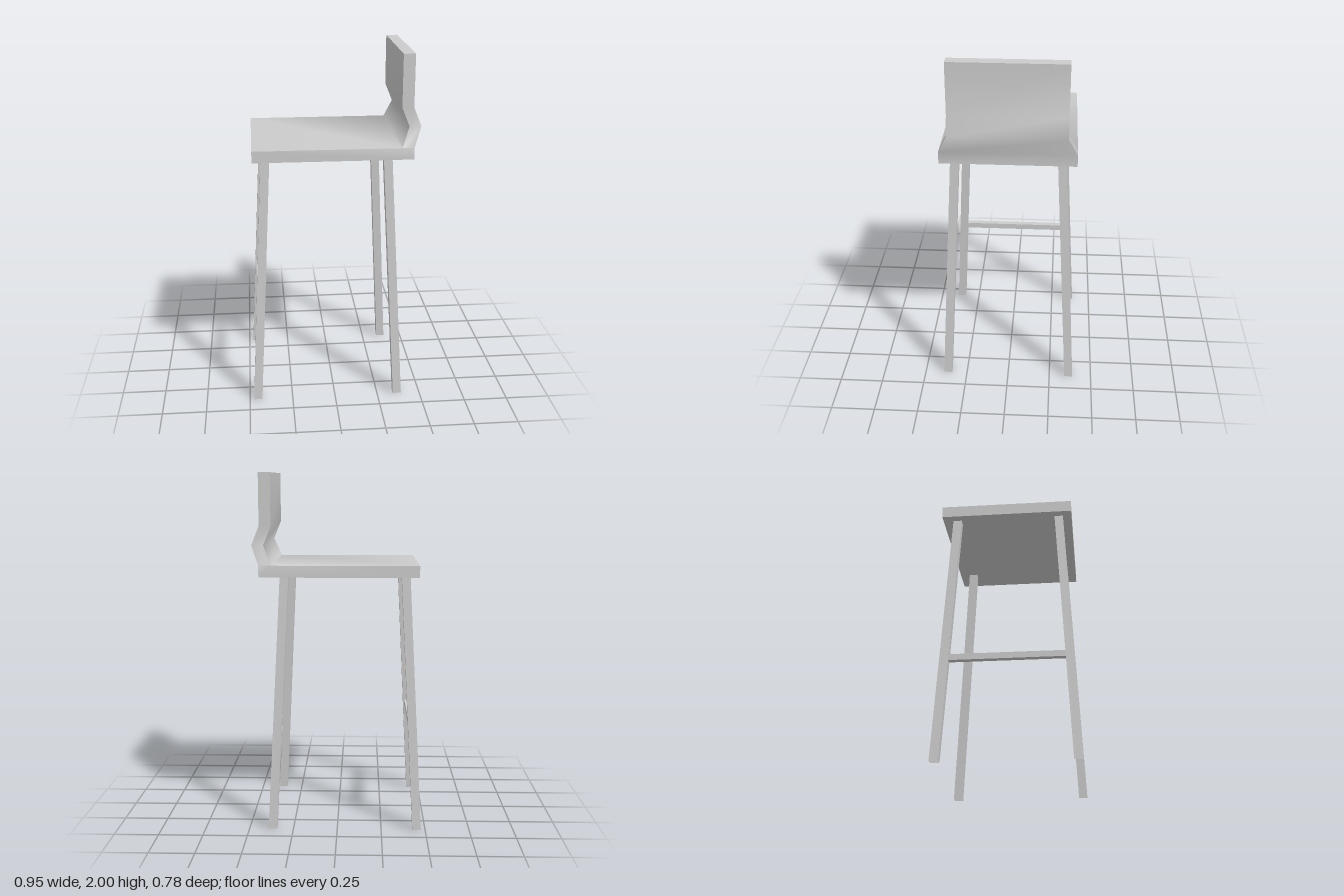
import * as THREE from 'three';
import { toCreasedNormals } from 'three/addons/utils/BufferGeometryUtils.js';

const SEAT_BOTTOM = 1.435;

// Slab swept through sections [innerX, innerY, outerX, outerY, zBack, zFront]
function slab(sections) {
  const pos = [];
  const tri = (a, b, c) => {
    const ab = new THREE.Vector3().subVectors(b, a);
    const ac = new THREE.Vector3().subVectors(c, a);
    if (ab.cross(ac).length() > 1e-7) for (const p of [a, b, c]) pos.push(p.x, p.y, p.z);
  };
  const quad = (a, b, c, d) => { tri(a, b, c); tri(a, c, d); };
  const rings = sections.map(([ix, iy, ox, oy, z0, z1]) => [
    new THREE.Vector3(ix, iy, z0), new THREE.Vector3(ix, iy, z1),
    new THREE.Vector3(ox, oy, z1), new THREE.Vector3(ox, oy, z0),
  ]);
  for (let i = 0; i < rings.length - 1; i++) {
    const a = rings[i], b = rings[i + 1];
    for (let k = 0; k < 4; k++) {
      const n = (k + 1) % 4;
      quad(a[k], a[n], b[n], b[k]);
    }
  }
  const first = rings[0], last = rings[rings.length - 1];
  quad(first[3], first[2], first[1], first[0]);
  quad(last[0], last[1], last[2], last[3]);
  const g = new THREE.BufferGeometry();
  g.setAttribute('position', new THREE.Float32BufferAttribute(pos, 3));
  g.computeVertexNormals();
  return toCreasedNormals(g, 1.3);
}

// Square open tube, sheared so that both ends stay horizontal
function legGeometry(bottom, top, width) {
  const r = width / Math.SQRT2;
  const g = new THREE.CylinderGeometry(r, r, SEAT_BOTTOM, 4, 1, true)
    .rotateY(Math.PI / 4).translate(0, SEAT_BOTTOM / 2, 0).toNonIndexed();
  const p = g.attributes.position;
  for (let i = 0; i < p.count; i++) {
    const t = p.getY(i) / SEAT_BOTTOM;
    p.setX(i, p.getX(i) + THREE.MathUtils.lerp(bottom[0], top[0], t));
    p.setZ(i, p.getZ(i) + THREE.MathUtils.lerp(bottom[1], top[1], t));
  }
  g.computeVertexNormals();
  return g;
}

export function createModel() {
  const group = new THREE.Group();
  const material = new THREE.MeshStandardMaterial({ color: 0xcccccc });
  const legMaterial = new THREE.MeshStandardMaterial({ color: 0xcccccc, side: THREE.DoubleSide });
  const add = (name, geometry, mat = material) => {
    const mesh = new THREE.Mesh(geometry, mat);
    mesh.name = name;
    group.add(mesh);
    return mesh;
  };

  // Seat and kinked backrest in one bent sheet, narrower above the seat
  const wide = [-0.372, 0.364], narrow = [-0.322, 0.315];
  add('seatAndBackrest', slab([
    [-0.45, 1.5, -0.45, SEAT_BOTTOM, ...wide],
    [0.365, 1.5, 0.43, SEAT_BOTTOM, ...wide],
    [0.365, 1.5, 0.43, 1.5, ...wide],
    [0.407, 1.607, 0.472, 1.607, ...narrow],
    [0.365, 1.712, 0.43, 1.712, ...narrow],
    [0.365, 2, 0.43, 2, ...narrow],
  ]));

  // Four splayed legs
  for (const [side, xBottom, xTop] of [['right', -0.452, -0.378], ['left', 0.368, 0.295]]) {
    for (const [end, s] of [['Front', 1], ['Back', -1]]) {
      add(`${side}${end}Leg`, legGeometry([xBottom, s * 0.365], [xTop, s * 0.291], 0.048), legMaterial);
    }
  }

  // Foot rail between the two right legs
  add('footRail', new THREE.BoxGeometry(0.034, 0.034, 0.63)).position.set(-0.423, 0.572, 0);

  return group;
}
